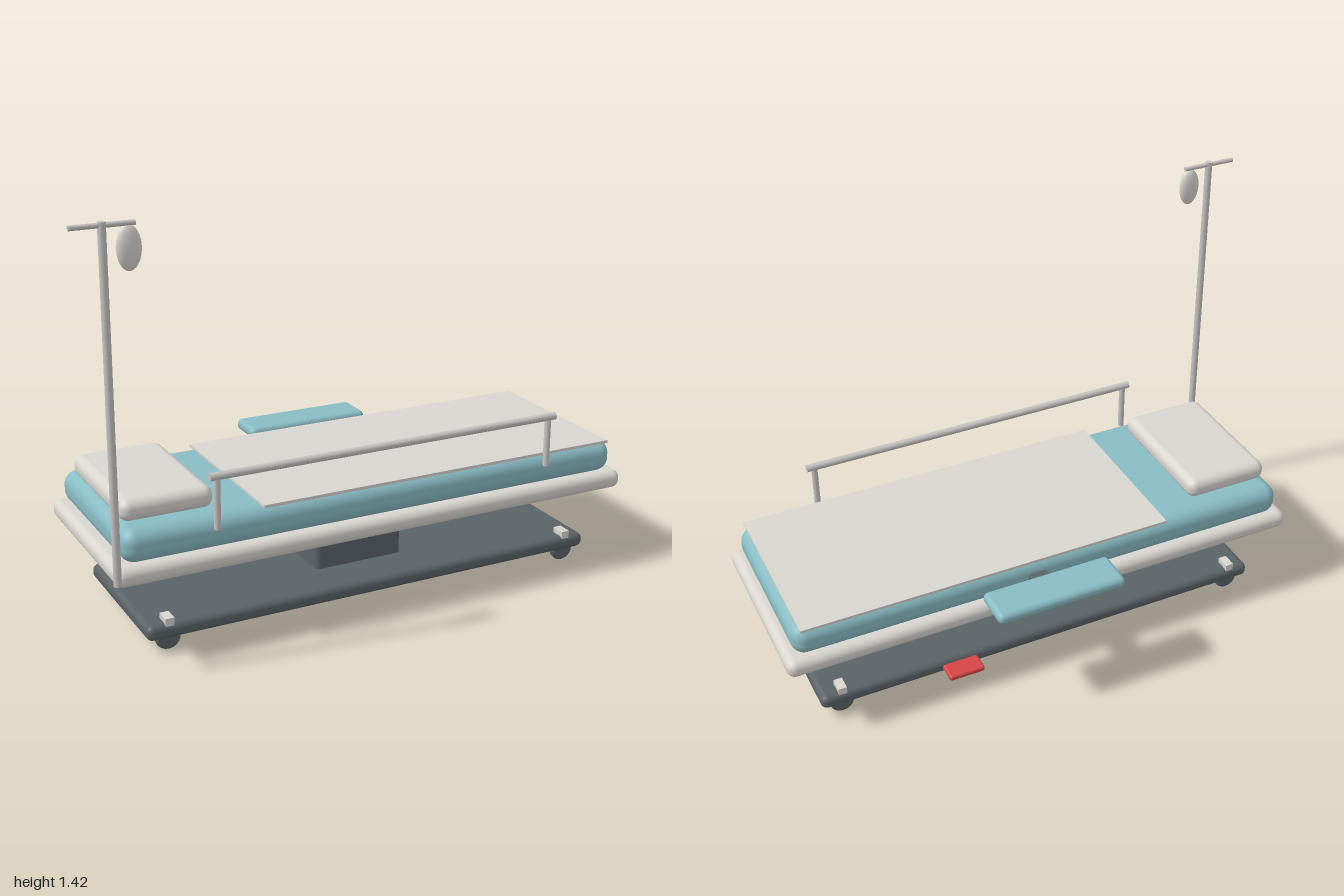
import * as THREE from 'three';
import { RoundedBoxGeometry } from 'three/addons/geometries/RoundedBoxGeometry.js';

export function createModel() {
  const model = new THREE.Group();
  model.name = 'hospitalBed';

  const material = (name, color) => {
    const m = new THREE.MeshStandardMaterial({ color });
    m.name = name;
    return m;
  };
  const cream = material('cream', 0xd9d6d0);
  const teal = material('teal', 0x89bcc4);
  const dark = material('darkGrey', 0x596266);
  const metal = material('metal', 0xc6c5c3);
  const red = material('red', 0xd64545);

  const add = (name, geometry, mat, x = 0, y = 0, z = 0) => {
    const mesh = new THREE.Mesh(geometry, mat);
    mesh.name = name;
    mesh.position.set(x, y, z);
    model.add(mesh);
    return mesh;
  };
  // Box given by its extents on each axis; radius 0 keeps sharp edges
  const block = (name, mat, [x0, x1], [y0, y1], [z0, z1], radius = 0) => {
    const size = [x1 - x0, y1 - y0, z1 - z0];
    const geometry = radius
      ? new RoundedBoxGeometry(...size, 5, radius)
      : new THREE.BoxGeometry(...size);
    return add(name, geometry, mat, (x0 + x1) / 2, (y0 + y1) / 2, (z0 + z1) / 2);
  };
  // Upright rod between two heights
  const rod = (name, mat, r, x, y0, y1, z) =>
    add(name, new THREE.CylinderGeometry(r, r, y1 - y0, 20), mat, x, (y0 + y1) / 2, z);
  // Horizontal rod along x
  const bar = (name, mat, r, x0, x1, y, z) => {
    const g = new THREE.CylinderGeometry(r, r, x1 - x0, 20).rotateZ(Math.PI / 2);
    return add(name, g, mat, (x0 + x1) / 2, y, z);
  };

  // Base, lifting column and bed platform
  block('base', dark, [-0.778, 0.885], [0.047, 0.099], [-0.217, 0.337], 0.022);
  block('liftColumn', dark, [-0.112, 0.217], [0.08, 0.29], [-0.06, 0.182], 0.02);
  block('bedFrame', cream, [-0.89, 0.997], [0.274, 0.34], [-0.272, 0.393], 0.03);

  // Bedding
  block('mattress', teal, [-0.858, 0.965], [0.336, 0.449], [-0.253, 0.375], 0.048);
  block('pillow', cream, [-0.837, -0.527], [0.449, 0.521], [-0.183, 0.304], 0.032);
  block('sheet', cream, [-0.39, 0.94], [0.447, 0.457], [-0.254, 0.372]);

  // Wheels with rounded tyres, and brake tabs on top of the base
  const wheelProfile = [new THREE.Vector2(0, -0.015)];
  for (let i = 0; i <= 8; i++) {
    const a = -Math.PI / 2 + (i / 8) * Math.PI;
    wheelProfile.push(new THREE.Vector2(0.031 + 0.012 * Math.cos(a), 0.015 * Math.sin(a)));
  }
  wheelProfile.push(new THREE.Vector2(0, 0.015));
  const wheelGeometry = new THREE.LatheGeometry(wheelProfile, 28).rotateX(Math.PI / 2);
  for (const x of [-0.702, 0.809]) {
    for (const z of [0.306, -0.185]) {
      add('wheel', wheelGeometry, dark, x, 0.045, z);
      block('brakeTab', cream, [x - 0.015, x + 0.015], [0.085, 0.118], [z - 0.026, z + 0.026]);
    }
  }

  // Foot pedal at the back
  block('footPedal', red, [0.32, 0.45], [0.062, 0.083], [-0.284, -0.19], 0.009);

  // Arm support at the back
  block('armBracket', dark, [0.075, 0.14], [0.34, 0.404], [-0.374, -0.23], 0.006);
  block('armPad', teal, [-0.123, 0.34], [0.407, 0.448], [-0.458, -0.315], 0.019);

  // Side rail at the front
  for (const x of [-0.559, 0.663]) rod('railPost', metal, 0.011, x, 0.418, 0.594, 0.395);
  bar('railBar', metal, 0.013, -0.583, 0.69, 0.594, 0.395);

  // Drip stand with its fluid bag
  rod('dripPole', metal, 0.0125, -0.903, 0.318, 1.422, 0.439);
  bar('dripCrossbar', metal, 0.008, -1.0, -0.805, 1.412, 0.439);
  const bag = add('fluidBag', new THREE.SphereGeometry(1, 28, 18), cream, -0.826, 1.341, 0.439);
  bag.scale.set(0.038, 0.067, 0.019);

  return model;
}
